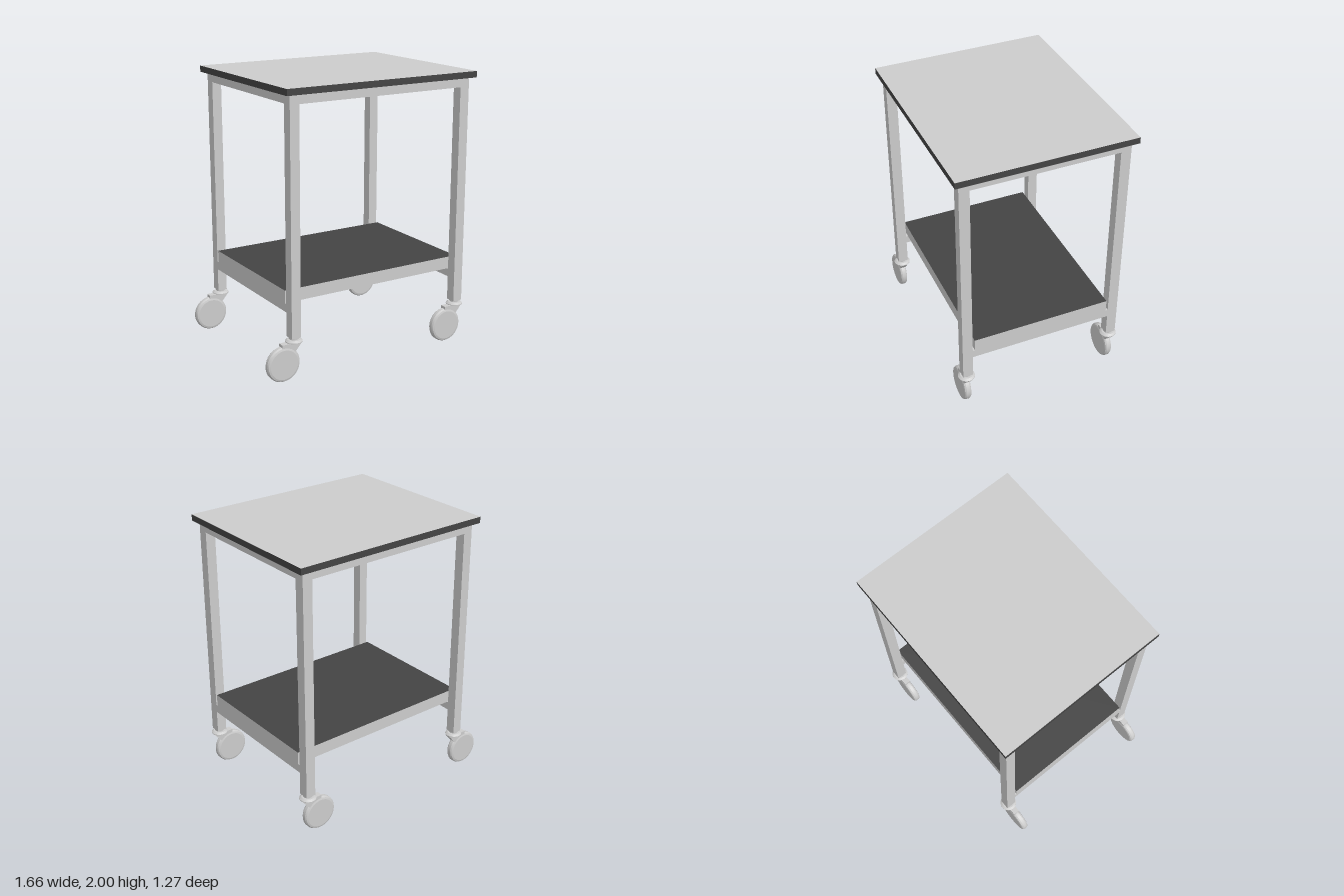
import * as THREE from 'three';

const grey = new THREE.MeshStandardMaterial({ color: 0xcccccc });
const dark = new THREE.MeshStandardMaterial({ color: 0x444444 });

// Box given by its min and max corners
function box(name, [x0, y0, z0], [x1, y1, z1], material = grey) {
  const mesh = new THREE.Mesh(new THREE.BoxGeometry(x1 - x0, y1 - y0, z1 - z0), material);
  mesh.position.set((x0 + x1) / 2, (y0 + y1) / 2, (z0 + z1) / 2);
  mesh.name = name;
  return mesh;
}

// Lathe with hard edges: every profile segment gets its own normals
function turned(name, profile, segments = 40) {
  const group = new THREE.Group();
  group.name = name;
  for (let i = 0; i < profile.length - 1; i++) {
    const pts = [profile[i], profile[i + 1]].map(([r, y]) => new THREE.Vector2(r, y));
    group.add(new THREE.Mesh(new THREE.LatheGeometry(pts, segments), grey));
  }
  return group;
}

// Swivel caster around the stem axis, wheel trailing towards -x
function caster() {
  const group = new THREE.Group();
  group.name = 'caster';
  group.add(turned('stem', [[0, 0.285], [0.03, 0.285], [0.03, 0.297], [0.035, 0.297], [0.035, 0.306], [0, 0.306]], 24));
  group.add(turned('swivelPlate', [[0, 0.268], [0.04, 0.268], [0.06, 0.275], [0.06, 0.28], [0.045, 0.291], [0, 0.291]]));

  // Fork leaning from the plate down to the axle
  const shape = new THREE.Shape([
    [-0.1, 0.27], [-0.1, 0.24], [-0.12, 0.13], [-0.07, 0.11], [0.0, 0.205], [0.055, 0.27],
  ].map(([x, y]) => new THREE.Vector2(x, y)));
  const fork = new THREE.Mesh(new THREE.ExtrudeGeometry(shape, { depth: 0.046, bevelEnabled: false }), grey);
  fork.position.z = -0.023;
  fork.name = 'fork';
  group.add(fork);

  // Wheel with slightly rounded tread
  const wheel = turned('wheel', [
    [0, -0.027], [0.105, -0.027], [0.118, -0.023], [0.125, -0.012],
    [0.125, 0.012], [0.118, 0.023], [0.105, 0.027], [0, 0.027],
  ], 48);
  wheel.rotation.x = Math.PI / 2;
  wheel.position.set(-0.088, 0.127, 0);
  group.add(wheel);
  return group;
}

export function createModel() {
  const model = new THREE.Group();
  model.name = 'trolleyTable';
  const xOut = [-0.65, 0.79], xIn = [-0.58, 0.717]; // outer and inner leg faces
  const zOut = 0.597, zIn = 0.523, rail = 0.065;

  // Table top: light surface with dark edge banding
  model.add(box('tableTop', [-0.69, 1.955, -0.633], [0.828, 2, 0.633], [dark, dark, grey, grey, dark, dark]));

  // Legs with casters
  for (const i of [0, 1]) {
    for (const s of [-1, 1]) {
      const z = [s * zIn, s * zOut].sort((a, b) => a - b);
      const x = [xOut[i], xIn[i]].sort((a, b) => a - b);
      model.add(box('leg', [x[0], 0.305, z[0]], [x[1], 1.955, z[1]]));
      const c = caster();
      c.position.set((x[0] + x[1]) / 2, 0, s * 0.56);
      model.add(c);
    }
  }

  // Upper frame rails
  for (const s of [-1, 1]) {
    const z = [s * zOut, s * (zOut - rail)].sort((a, b) => a - b);
    model.add(box('topLongRail', [xIn[0], 1.89, z[0]], [xIn[1], 1.955, z[1]]));
  }
  // End rails of the upper and lower frames
  for (const [name, y0, y1] of [['topEndRail', 1.89, 1.955], ['lowerEndRail', 0.475, 0.535]]) {
    model.add(box(name, [xOut[0], y0, -zIn], [xOut[0] + rail, y1, zIn]));
    model.add(box(name, [xOut[1] - rail, y0, -zIn], [xOut[1], y1, zIn]));
  }
  // Rail under the middle of the shelf
  model.add(box('shelfCentreRail', [xOut[0] + rail, 0.475, -rail / 2], [xOut[1] - rail, 0.535, rail / 2]));

  // Shelf with dark surface, fitted between the legs
  model.add(box('shelf', [xOut[0], 0.535, -0.507], [xOut[1], 0.625, 0.507], [grey, grey, dark, grey, grey, grey]));
  return model;
}
